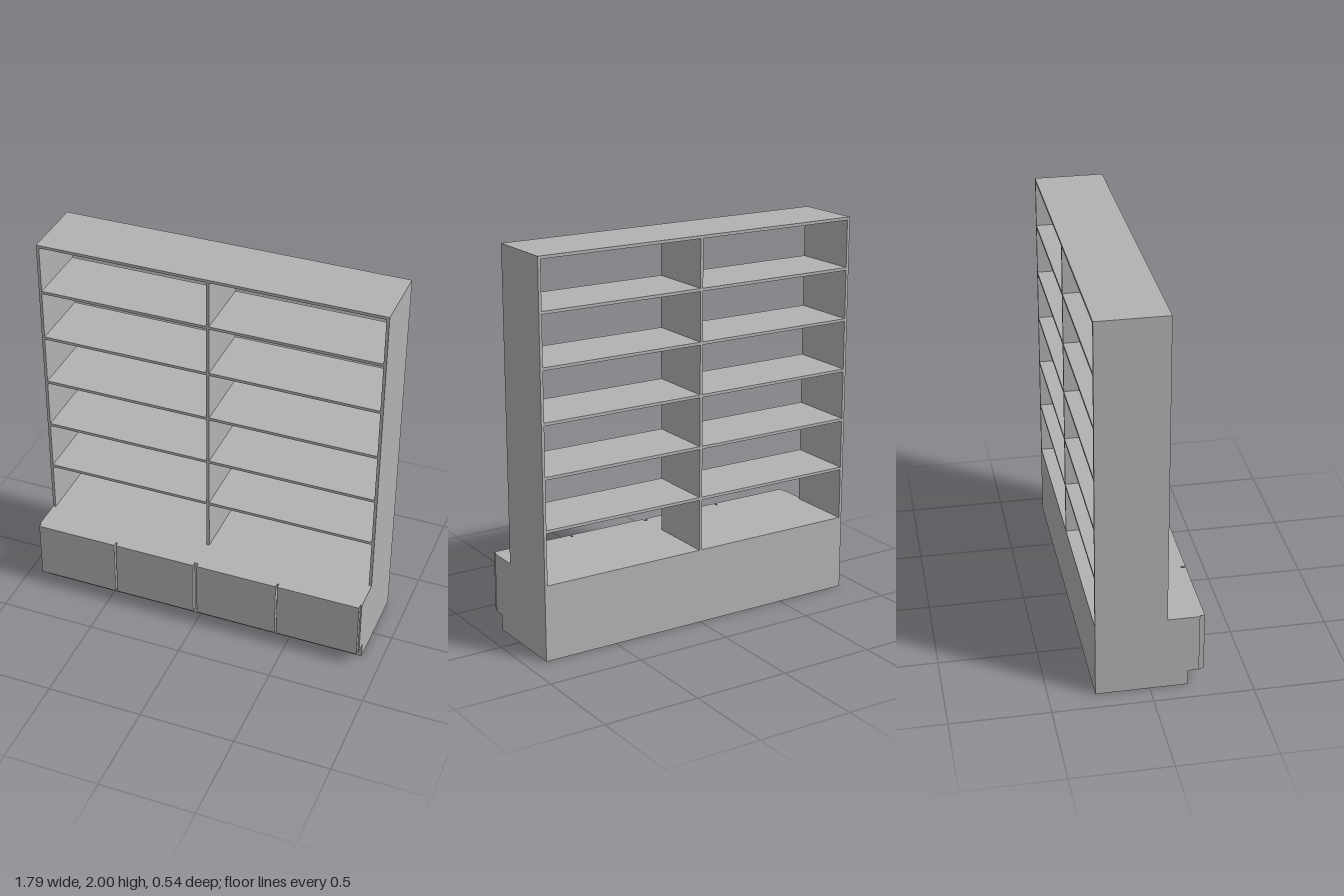
import * as THREE from 'three';

export function createModel() {
  const group = new THREE.Group();
  const grey = new THREE.MeshStandardMaterial({ color: 0xb2b2b2 });
  grey.name = 'plain grey';

  // Box given by its lower and upper corners
  function box(name, x0, x1, y0, y1, z0, z1) {
    const mesh = new THREE.Mesh(new THREE.BoxGeometry(x1 - x0, y1 - y0, z1 - z0), grey);
    mesh.position.set((x0 + x1) / 2, (y0 + y1) / 2, (z0 + z1) / 2);
    mesh.name = name;
    group.add(mesh);
  }

  const W = 0.895, BACK = -0.27, SHELF_FRONT = 0.085, CABINET_FRONT = 0.245;
  const PLINTH = 0.08, COUNTER = 0.392, TOP = 2, T = 0.015;

  // Lower cabinet on a recessed plinth
  box('plinth', -W, W, 0, PLINTH, BACK, 0.19);
  box('cabinet', -W, W, PLINTH, COUNTER, BACK, CABINET_FRONT);

  // Four doors with narrow gaps, wider in the middle
  for (const [a, b] of [[-0.888, -0.455], [-0.445, -0.01], [0.01, 0.443], [0.452, 0.888]]) {
    box('door', a, b, PLINTH, COUNTER, CABINET_FRONT, 0.27);
  }

  // Open shelf frame
  box('topPanel', -W, W, TOP - T, TOP, BACK, SHELF_FRONT);
  box('rightSidePanel', -W, -W + T, COUNTER, TOP - T, BACK, SHELF_FRONT);
  box('leftSidePanel', W - T, W, COUNTER, TOP - T, BACK, SHELF_FRONT);
  box('centreDivider', -T / 2, T / 2, COUNTER, TOP - T, BACK, SHELF_FRONT);

  // Five shelves in each bay
  for (let i = 0; i < 5; i++) {
    const y = 0.666 + i * 0.267;
    box('shelf', -W + T, -T / 2, y - T / 2, y + T / 2, BACK, SHELF_FRONT);
    box('shelf', T / 2, W - T, y - T / 2, y + T / 2, BACK, SHELF_FRONT);
  }
  return group;
}
